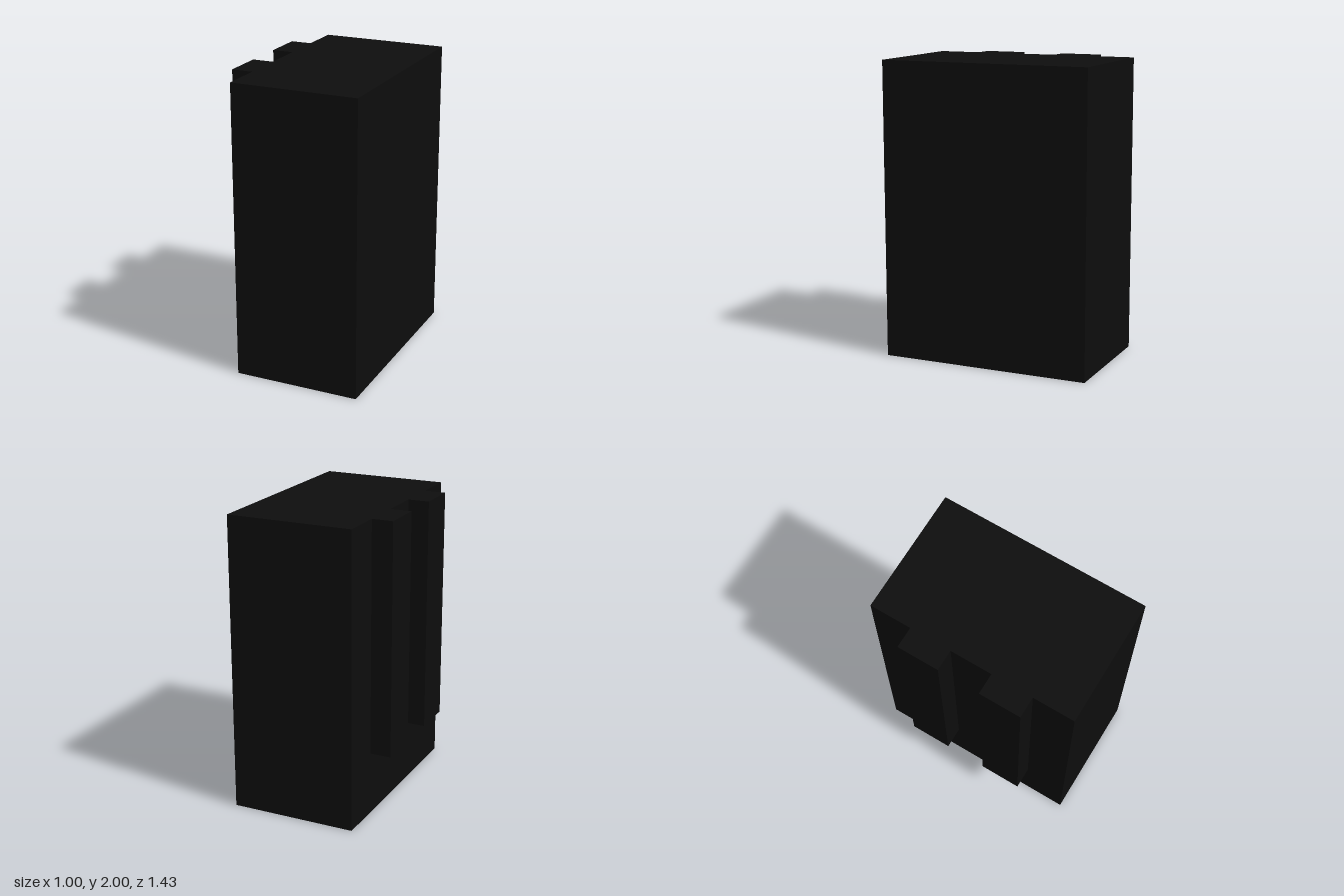
import * as THREE from 'three';

export function createModel() {
  const model = new THREE.Group();
  const black = new THREE.MeshStandardMaterial({ color: 0x0d0d0d });
  black.name = 'black';
  const u = 1 / 7; // base module: the block is 14 modules tall

  // box spanning the given corners, measured in modules
  const addBox = (name, [x0, y0, z0], [x1, y1, z1]) => {
    const mesh = new THREE.Mesh(
      new THREE.BoxGeometry((x1 - x0) * u, (y1 - y0) * u, (z1 - z0) * u), black);
    mesh.position.set((x0 + x1) * u / 2, (y0 + y1) * u / 2, (z0 + z1) * u / 2);
    mesh.name = name;
    model.add(mesh);
  };

  // main block
  addBox('body', [-2.5, 0, -5], [3.5, 14, 5]);

  // two upright ribs on the -x side, flush with the top
  addBox('frontRib', [-3.5, 3, 1], [-2.5, 14, 3]);
  addBox('backRib', [-3.5, 3, -3], [-2.5, 14, -1]);

  return model;
}
